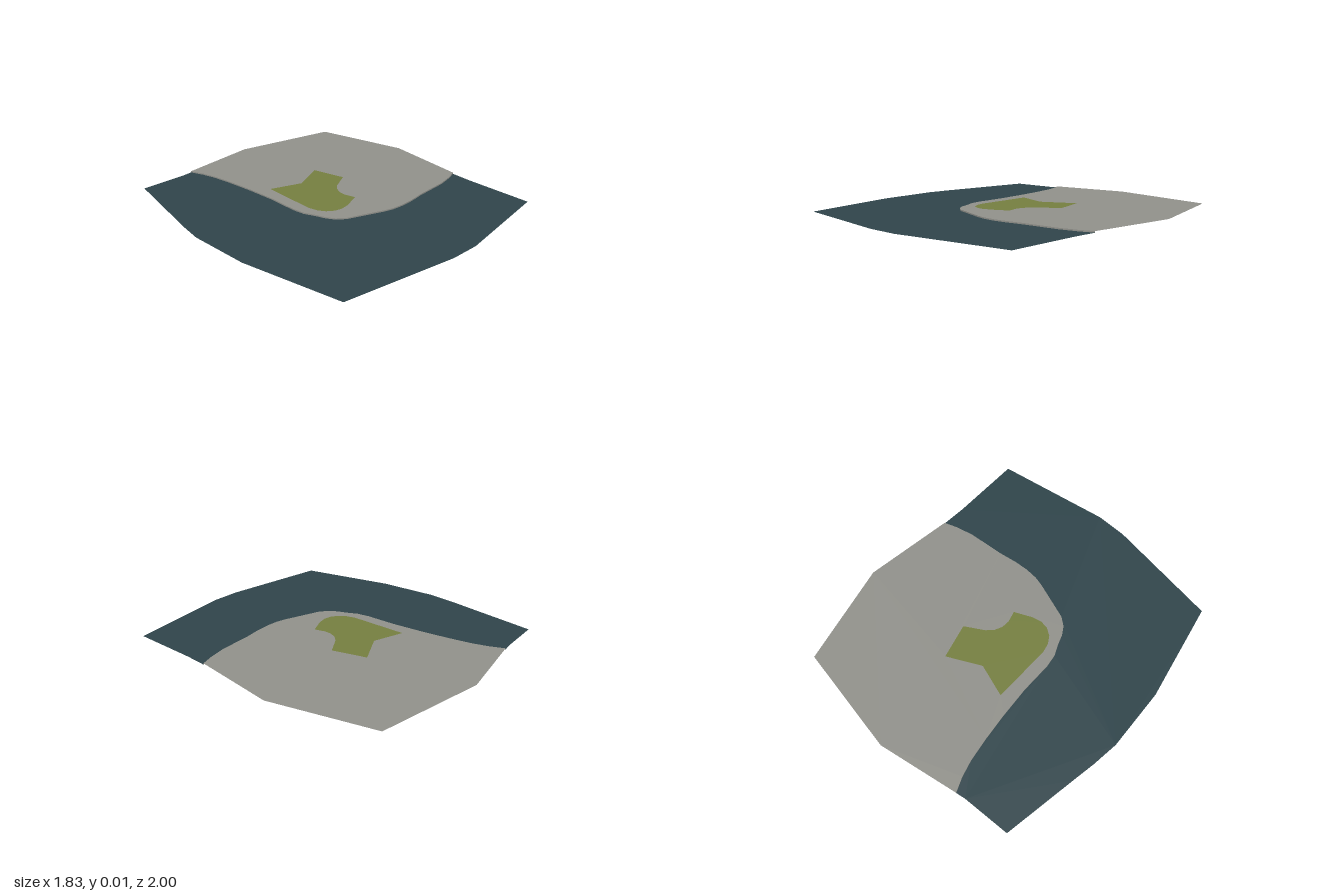
import * as THREE from 'three';

const LAND_Y = 0.008;

// Plan points are [x, z]
const shore = [
  [0.815, 0.3], [0.73, 0.33], [0.62, 0.355], [0.4, 0.375], [0.29, 0.393], [0.2, 0.4], [0.12, 0.395],
  [0.06, 0.38], [-0.04, 0.345], [-0.17, 0.3], [-0.22, 0.26], [-0.25, 0.21], [-0.27, 0.15],
  [-0.3, 0.08], [-0.31, 0], [-0.305, -0.2], [-0.315, -0.4], [-0.33, -0.57], [-0.35, -0.72],
  [-0.375, -0.82], [-0.41, -0.91],
];
const landEdge = [[0.1, -1], [0.78, -0.885], [0.91, -0.255]];
const seaEdge = [
  [-0.47, -0.9], [-0.77, -0.885], [-0.86, -0.42], [-0.89, -0.27], [-0.915, -0.1], [-0.905, 0.29],
  [-0.795, 0.905], [-0.1, 1], [0.09, 1], [0.78, 0.88], [0.8, 0.45],
];
const lawn = [
  [-0.22, -0.32], [-0.02, -0.255], [0.19, -0.36], [0.24, -0.145], [0.12, -0.075], [0.08, -0.035],
  [0.058, 0.01], [0.053, 0.06], [0.07, 0.13], [-0.04, 0.18], [-0.1, 0.193], [-0.15, 0.185],
  [-0.195, 0.155], [-0.222, 0.11], [-0.235, 0.05],
];

const toVectors = (points) => points.map(([x, z]) => new THREE.Vector2(x, -z));

// Flat horizontal sheet cut from a plan outline
function sheet(name, outline, y, material, hole) {
  const shape = new THREE.Shape(toVectors(outline));
  if (hole) shape.holes.push(new THREE.Path(toVectors(hole)));
  const geometry = new THREE.ShapeGeometry(shape).rotateX(-Math.PI / 2).translate(0, y, 0);
  const mesh = new THREE.Mesh(geometry, material);
  mesh.name = name;
  return mesh;
}

// Low upright strip following a line
function bank(name, line, height, material) {
  const geometry = new THREE.PlaneGeometry(1, 1, line.length - 1, 1);
  const position = geometry.attributes.position;
  for (let i = 0; i < position.count; i++) {
    const [x, z] = line[i % line.length];
    position.setXYZ(i, x, i < line.length ? height : 0, z);
  }
  geometry.computeVertexNormals();
  const mesh = new THREE.Mesh(geometry, material);
  mesh.name = name;
  return mesh;
}

export function createModel() {
  const paint = (name, color) => {
    const material = new THREE.MeshStandardMaterial({ color, side: THREE.DoubleSide });
    material.name = name;
    return material;
  };
  const stone = paint('stone grey', 0x90908a);
  const water = paint('deep water', 0x2f444a);
  const grass = paint('grass green', 0x747e3f);

  const group = new THREE.Group();
  group.name = 'coastalGround';
  group.add(
    sheet('water', [...shore, ...seaEdge], 0, water),
    sheet('land', [...shore, ...landEdge], LAND_Y, stone, lawn),
    sheet('lawn', lawn, LAND_Y, grass),
    bank('shoreBank', [...shore].reverse(), LAND_Y, stone),
  );
  return group;
}
